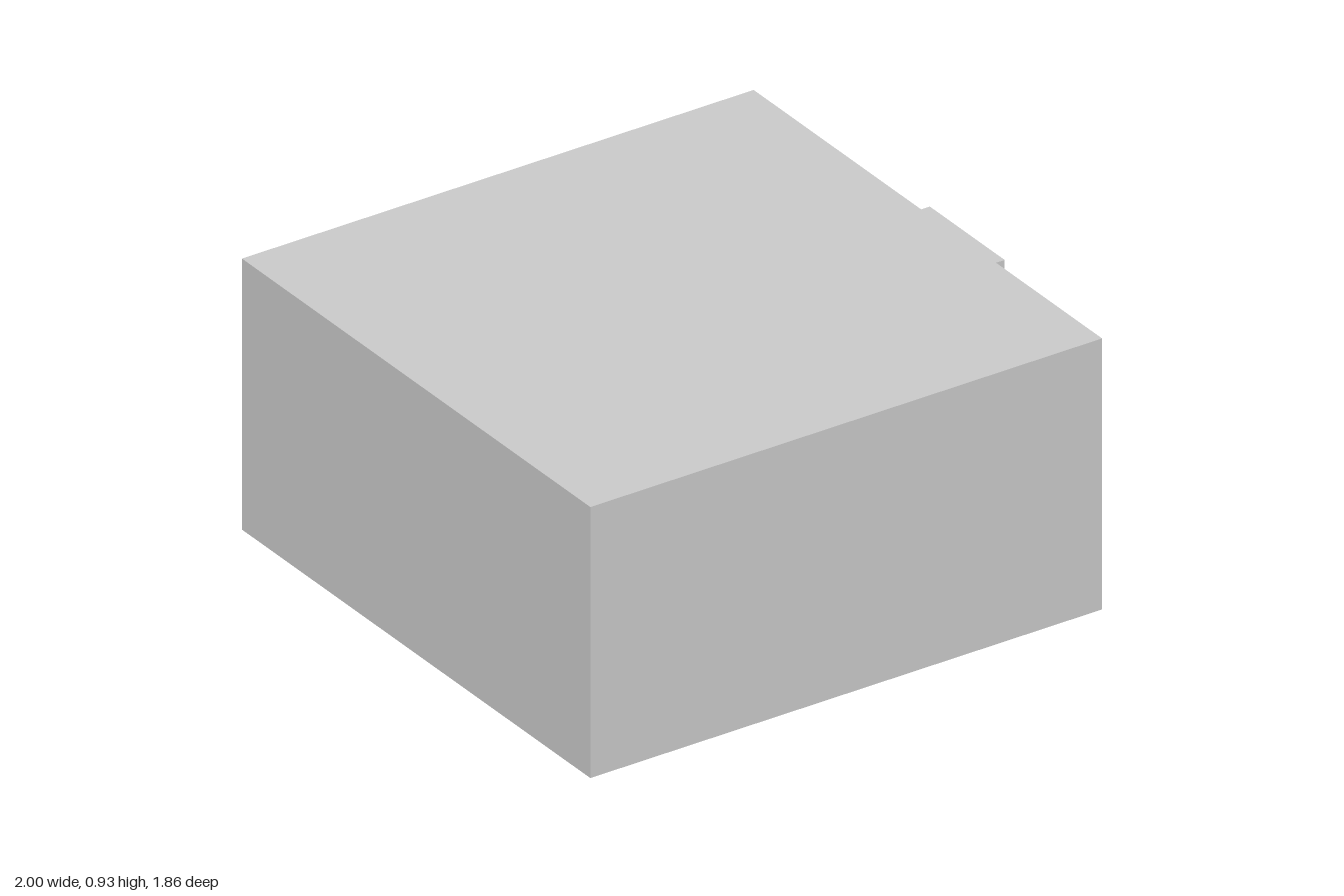
import * as THREE from 'three';

const FACES = ['right', 'left', 'top', 'bottom', 'front', 'back'];

// Thin-walled box with one side left open
function openBox(name, min, max, openSide) {
  const size = max.map((v, i) => v - min[i]);
  const geometry = new THREE.BoxGeometry(...size);
  const index = Array.from(geometry.index.array);
  index.splice(FACES.indexOf(openSide) * 6, 6);
  geometry.setIndex(index);
  geometry.clearGroups();
  geometry.translate(...max.map((v, i) => (v + min[i]) / 2));
  const material = new THREE.MeshStandardMaterial({ color: 0xcccccc, side: THREE.DoubleSide });
  const mesh = new THREE.Mesh(geometry, material);
  mesh.name = name;
  return mesh;
}

export function createModel() {
  const group = new THREE.Group();
  group.name = 'openBottomBox';
  // Shell: four walls and a top, open underneath
  group.add(openBox('shell', [-1, 0, -0.93], [0.857, 0.93, 0.93], 'bottom'));
  // Block standing out from the side wall, which closes its inner side
  group.add(openBox('sideBlock', [0.857, 0.34, -0.2], [1, 0.82, 0.2], 'left'));
  return group;
}
